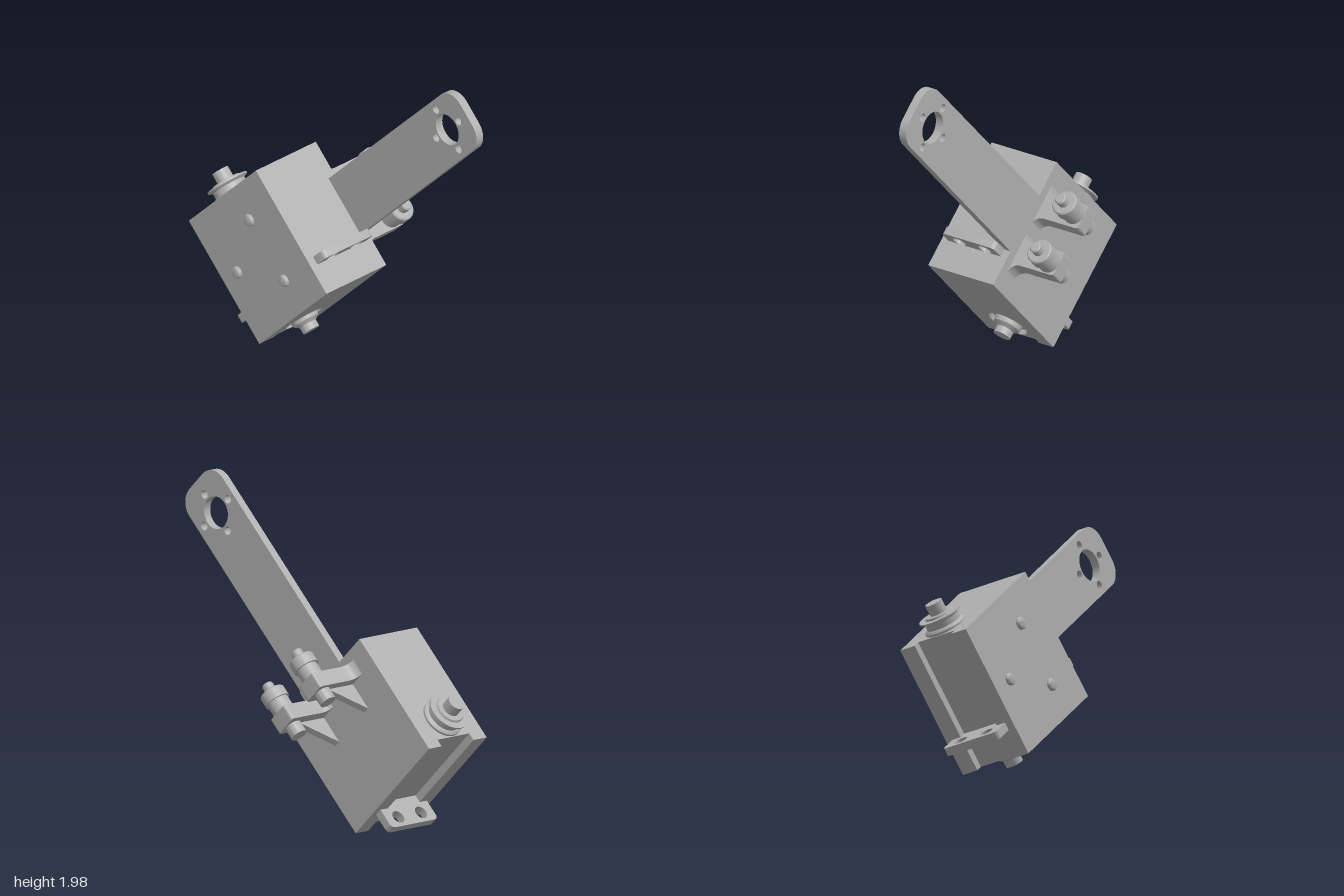
import * as THREE from 'three';
import { toCreasedNormals } from 'three/addons/utils/BufferGeometryUtils.js';

export function createModel() {
  const root = new THREE.Group();
  root.name = 'gearboxArm';
  const grey = new THREE.MeshStandardMaterial({ color: 0xb0b0b0 });
  grey.name = 'plain grey';

  // Everything is built square, then tilted: x runs along the arm, y across it
  const body = new THREE.Group();
  body.name = 'tiltedAssembly';
  body.position.set(-0.396, 0.583, 0);
  body.rotation.z = THREE.MathUtils.degToRad(45.6);
  root.add(body);

  const add = (name, geometry, x = 0, y = 0, z = 0) => {
    const mesh = new THREE.Mesh(geometry, grey);
    mesh.name = name;
    mesh.position.set(x, y, z);
    body.add(mesh);
    return mesh;
  };
  const circle = (x, y, r) => new THREE.Path().absarc(x, y, r, 0, Math.PI * 2, true);
  const polygon = pts => new THREE.Shape(pts.map(p => new THREE.Vector2(...p)));
  const extrude = (shape, depth) => toCreasedNormals(
    new THREE.ExtrudeGeometry(shape, { depth, bevelEnabled: false, curveSegments: 20 }), 0.5);
  // Turned part about y from [radius, height] pairs
  const turned = pts => toCreasedNormals(
    new THREE.LatheGeometry(pts.map(p => new THREE.Vector2(...p)), 40), 0.5);
  const roundedRect = (x0, y0, x1, y1, r) => {
    const s = new THREE.Shape();
    s.moveTo(x0, y0);
    s.lineTo(x1 - r, y0);
    s.absarc(x1 - r, y0 + r, r, -Math.PI / 2, 0);
    s.absarc(x1 - r, y1 - r, r, 0, Math.PI / 2);
    s.lineTo(x0, y1);
    s.closePath();
    return s;
  };

  // Gearbox housing with a channel in the lower end and a bore for the shaft
  const SX = -0.222, SZ = 0.142;
  const housing = polygon([[-0.4, -0.385], [0.4, -0.385], [0.4, 0.095], [-0.4, 0.095],
    [-0.4, -0.01], [-0.352, -0.01], [-0.352, -0.275], [-0.4, -0.275]]);
  housing.holes.push(circle(SX, -SZ, 0.124));
  add('housing', extrude(housing, 0.825).rotateX(-Math.PI / 2), 0, -0.4125, 0);

  // Bearing seat, lower shaft, pulley and hub on one axis
  add('shaftAndPulley', turned([
    [0, -0.492], [0.053, -0.492], [0.053, -0.45], [0.082, -0.43], [0.09, -0.38], [0.125, -0.38],
    [0.125, 0.425], [0.115, 0.435], [0.105, 0.44], [0.105, 0.475], [0.13, 0.488], [0.13, 0.498],
    [0.09, 0.498], [0.085, 0.51], [0.052, 0.51], [0.052, 0.577], [0, 0.577]]), SX, 0, SZ);

  // Long arm with a round opening and four bolt holes
  const arm = roundedRect(0.39, -0.187, 1.855, 0.187, 0.115);
  arm.holes.push(circle(1.626, 0, 0.096));
  for (const [dx, dy] of [[1, 0], [-1, 0], [0, 1], [0, -1]])
    arm.holes.push(circle(1.626 + dx * 0.132, dy * 0.132, 0.025));
  add('arm', extrude(arm, 0.052), 0, 0, -0.095);

  // Mounting tabs with two holes at each end of the housing
  const tab = length => {
    const r = 0.03, s = new THREE.Shape();
    s.moveTo(0, -0.193);
    s.lineTo(length - r, -0.193);
    s.absarc(length - r, -0.193 + r, r, -Math.PI / 2, 0);
    s.absarc(length - r, 0.193 - r, r, 0, Math.PI / 2);
    s.lineTo(0, 0.193);
    for (const side of [-1, 1]) s.holes.push(circle(length - 0.063, side * 0.094, 0.041));
    return extrude(s, 0.05).rotateX(-Math.PI / 2);
  };
  add('upperTab', tab(0.12), 0.38, -0.235, SZ);
  add('lowerTab', tab(0.19).rotateZ(Math.PI), -0.342, -0.193, SZ);

  // Domed cross-head screws on the front
  for (const [x, y] of [[0.115, 0.203], [0.115, -0.203], [-0.236, 0]]) {
    add('screwHead', turned([[0.037, -0.01], [0.037, 0.012], [0.03, 0.021], [0.015, 0.025], [0, 0.026]])
      .rotateX(Math.PI / 2), x, y, 0.385);
    for (const turn of [0, Math.PI / 2])
      add('screwCross', new THREE.BoxGeometry(0.036, 0.008, 0.006), x, y, 0.409).rotation.z = turn + Math.PI / 4;
  }

  // Forked rear bracket: each arm has flared feet, a gusset and a roller
  for (const side of [-1, 1]) {
    const s = new THREE.Shape();
    s.moveTo(0.09, side * 0.02);
    s.quadraticCurveTo(0.1, side * 0.08, 0.16, side * 0.08);
    s.lineTo(0.385, side * 0.08);
    s.quadraticCurveTo(0.402, side * 0.08, 0.402, side * 0.1);
    s.lineTo(0.402, side * 0.215);
    s.quadraticCurveTo(0.402, side * 0.235, 0.385, side * 0.235);
    s.lineTo(0.16, side * 0.235);
    s.quadraticCurveTo(0.1, side * 0.24, 0.09, side * 0.31);
    s.closePath();
    add('bracketArm', extrude(s, 0.1).rotateY(Math.PI / 2), 0.24, 0, 0);

    const gusset = polygon([[0.06, 0.09], [0.25, 0.09], [0.25, 0.31]]);
    add('bracketGusset', extrude(gusset, 0.04).rotateX(-Math.PI / 2), 0, side * 0.163 - 0.02, 0);

    add('roller', turned([[0, 0.168], [0.05, 0.168], [0.05, 0.24], [0.05, 0.34], [0.066, 0.34],
      [0.066, 0.415], [0.077, 0.415], [0.077, 0.478], [0.07, 0.486], [0.034, 0.486],
      [0.034, 0.533], [0.027, 0.541], [0, 0.541]]).rotateZ(-Math.PI / 2), 0, side * 0.163, -0.338);
  }
  return root;
}
